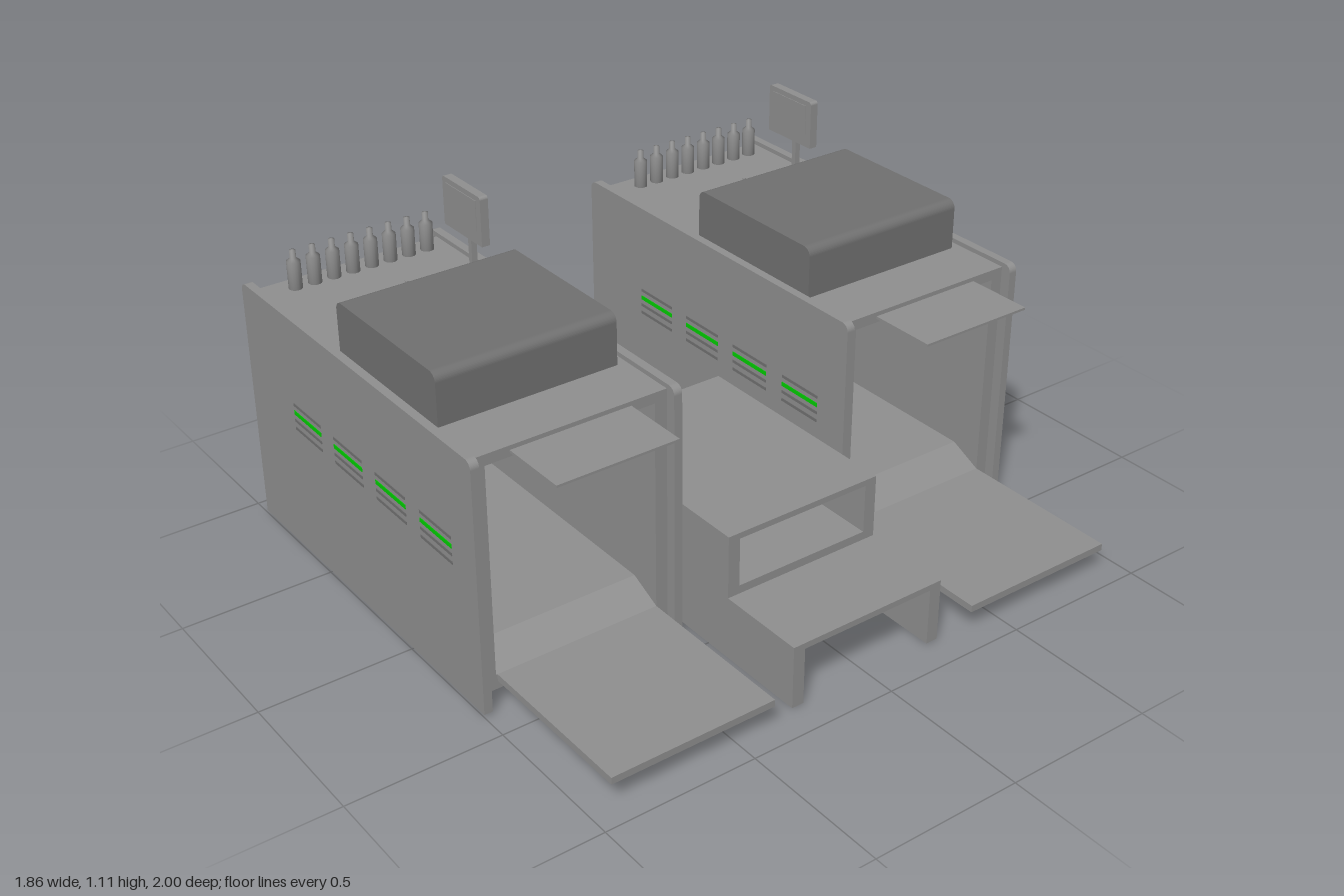
import * as THREE from 'three';

const mat = (name, color, side = THREE.FrontSide) => {
  const m = new THREE.MeshStandardMaterial({ color, side });
  m.name = name;
  return m;
};

export function createModel() {
  const grey = mat('body grey', 0x8f8f8f);
  const dark = mat('hood grey', 0x707070);
  const green = mat('indicator green', 0x00cc00);

  const add = (parent, name, geo, m) => {
    const mesh = new THREE.Mesh(geo, m);
    mesh.name = name;
    parent.add(mesh);
    return mesh;
  };
  // Box given by its limits on each axis
  const box = (parent, name, x0, x1, y0, y1, z0, z1, m = grey) => {
    const mesh = add(parent, name, new THREE.BoxGeometry(x1 - x0, y1 - y0, z1 - z0), m);
    mesh.position.set((x0 + x1) / 2, (y0 + y1) / 2, (z0 + z1) / 2);
    return mesh;
  };
  // Profile in x, y pulled from z0 to z1
  const extrude = (parent, name, shape, z0, z1, m = grey) => {
    const geo = new THREE.ExtrudeGeometry(shape, { depth: z1 - z0, bevelEnabled: false, curveSegments: 6 });
    geo.translate(0, 0, z0);
    return add(parent, name, geo, m);
  };
  const cyl = (parent, name, r, y0, y1, x, z) => {
    const mesh = add(parent, name, new THREE.CylinderGeometry(r, r, y1 - y0, 16), grey);
    mesh.position.set(x, (y0 + y1) / 2, z);
    return mesh;
  };
  const polygon = (pts) => new THREE.Shape(pts.map(([x, y]) => new THREE.Vector2(x, y)));
  // Rectangle with rounded top corners
  const roundedTop = (x0, x1, y0, y1, r) => {
    const s = new THREE.Shape();
    s.moveTo(x0, y0);
    s.lineTo(x1, y0);
    s.lineTo(x1, y1 - r);
    s.absarc(x1 - r, y1 - r, r, 0, Math.PI / 2, false);
    s.lineTo(x0 + r, y1);
    s.absarc(x0 + r, y1 - r, r, Math.PI / 2, Math.PI, false);
    s.closePath();
    return s;
  };

  function createCounter() {
    const g = new THREE.Group();

    // Outer side panels
    const panel = roundedTop(-0.93, 0.405, 0.01, 0.84, 0.025);
    extrude(g, 'innerSidePanel', panel, 0.305, 0.333);
    extrude(g, 'outerSidePanel', panel, 0.972, 1.0);

    // Open-ended shell between the panels
    box(g, 'shellWall', -0.885, 0.37, 0.05, 0.825, 0.333, 0.375);
    box(g, 'shellWall', -0.885, 0.37, 0.05, 0.825, 0.935, 0.972);
    box(g, 'counterTop', -0.885, 0.37, 0.79, 0.825, 0.375, 0.935);

    // Floor with a ramp down to the tray
    extrude(g, 'floorRamp', polygon([
      [-0.885, 0.05], [0.37, 0.05], [0.37, 0.1], [0.26, 0.15], [-0.885, 0.15],
    ]), 0.375, 0.935);
    box(g, 'lowerTray', 0.36, 0.93, 0.077, 0.1, 0.375, 0.93);
    box(g, 'upperShelf', 0.36, 0.595, 0.803, 0.811, 0.455, 0.855);

    // Hood: two end plates, and a middle open towards -x
    const hood = new THREE.Group();
    hood.name = 'hood';
    g.add(hood);
    const plate = roundedTop(-0.375, 0.175, 0.825, 0.99, 0.028);
    extrude(hood, 'hoodEnd', plate, 0.365, 0.385, dark);
    extrude(hood, 'hoodEnd', plate, 0.94, 0.96, dark);
    const cover = new THREE.Shape();
    cover.moveTo(0.155, 0.825);
    cover.lineTo(0.175, 0.825);
    cover.lineTo(0.175, 0.962);
    cover.absarc(0.147, 0.962, 0.028, 0, Math.PI / 2, false);
    cover.lineTo(-0.347, 0.99);
    cover.absarc(-0.347, 0.962, 0.028, Math.PI / 2, Math.PI, false);
    cover.lineTo(-0.375, 0.957);
    cover.lineTo(0.155, 0.957);
    cover.closePath();
    extrude(hood, 'hoodCover', cover, 0.385, 0.94, dark);

    // Four groups of vent slats, one slat in each lit green
    for (let i = 0; i < 4; i++) {
      const x = -0.64 + i * 0.25;
      [0.54, 0.512, 0.485, 0.457].forEach((y, row) => {
        const lit = row === 1;
        const h = lit ? 0.007 : 0.005;
        box(g, lit ? 'ventLight' : 'ventSlat', x, x + 0.17, y - h, y + h, 0.999, 1.002, lit ? green : dark);
      });
    }

    // Row of bottles
    for (let i = 0; i < 8; i++) {
      const bottle = new THREE.Group();
      bottle.name = 'bottle';
      bottle.position.set(-0.822, 0.825, 0.405 + i * 0.0665);
      const profile = [[0, 0], [0.022, 0], [0.022, 0.092], [0.01, 0.102], [0.01, 0.128], [0, 0.13]];
      const lathe = new THREE.LatheGeometry(profile.map(([r, y]) => new THREE.Vector2(r, y)), 16);
      add(bottle, 'bottleBody', lathe, grey);
      g.add(bottle);
    }

    // Display on a post
    const display = new THREE.Group();
    display.name = 'display';
    g.add(display);
    extrude(display, 'displayCase', roundedTop(-0.735, -0.515, 0.94, 1.105, 0.01), 0.355, 0.384);
    box(display, 'displayScreen', -0.715, -0.54, 0.985, 1.087, 0.382, 0.386);
    box(display, 'displayBack', -0.655, -0.59, 0.945, 1.05, 0.344, 0.356);
    box(display, 'displayPost', -0.633, -0.615, 0.825, 0.96, 0.343, 0.363);

    // Small stand with a flared foot
    cyl(g, 'standBase', 0.027, 0.825, 0.836, -0.57, 0.622);
    cyl(g, 'standPost', 0.006, 0.836, 0.876, -0.57, 0.622);
    const foot = add(g, 'standFoot', new THREE.ExtrudeGeometry(polygon([
      [-0.635, -0.035], [-0.605, -0.017], [-0.58, -0.017], [-0.58, 0.017], [-0.605, 0.017], [-0.635, 0.035],
    ]), { depth: 0.01, bevelEnabled: false }), grey);
    foot.rotation.x = -Math.PI / 2;
    foot.position.set(0, 0.825, 0.622);
    return g;
  }

  const model = new THREE.Group();
  model.name = 'checkoutStation';

  // Two identical counters side by side
  [['frontCounter', 0], ['backCounter', -1.305]].forEach(([name, z]) => {
    const counter = createCounter();
    counter.name = name;
    counter.position.z = z;
    model.add(counter);
  });

  // Stepped bench between them
  const bench = new THREE.Group();
  bench.name = 'steppedBench';
  model.add(bench);
  box(bench, 'lowerStepTop', -0.18, 0.89, 0.19, 0.21, -0.278, 0.278);
  box(bench, 'upperStepFloor', -0.18, 0.59, 0.21, 0.238, -0.237, 0.237);
  box(bench, 'upperStepTop', -0.18, 0.59, 0.4, 0.42, -0.278, 0.278);
  for (const s of [-1, 1]) {
    const z0 = s > 0 ? 0.237 : -0.278;
    box(bench, 'lowerStepSide', -0.18, 0.89, 0, 0.19, z0, z0 + 0.041);
    box(bench, 'upperStepSide', -0.18, 0.59, 0.21, 0.4, z0, z0 + 0.041);
  }
  return model;
}
